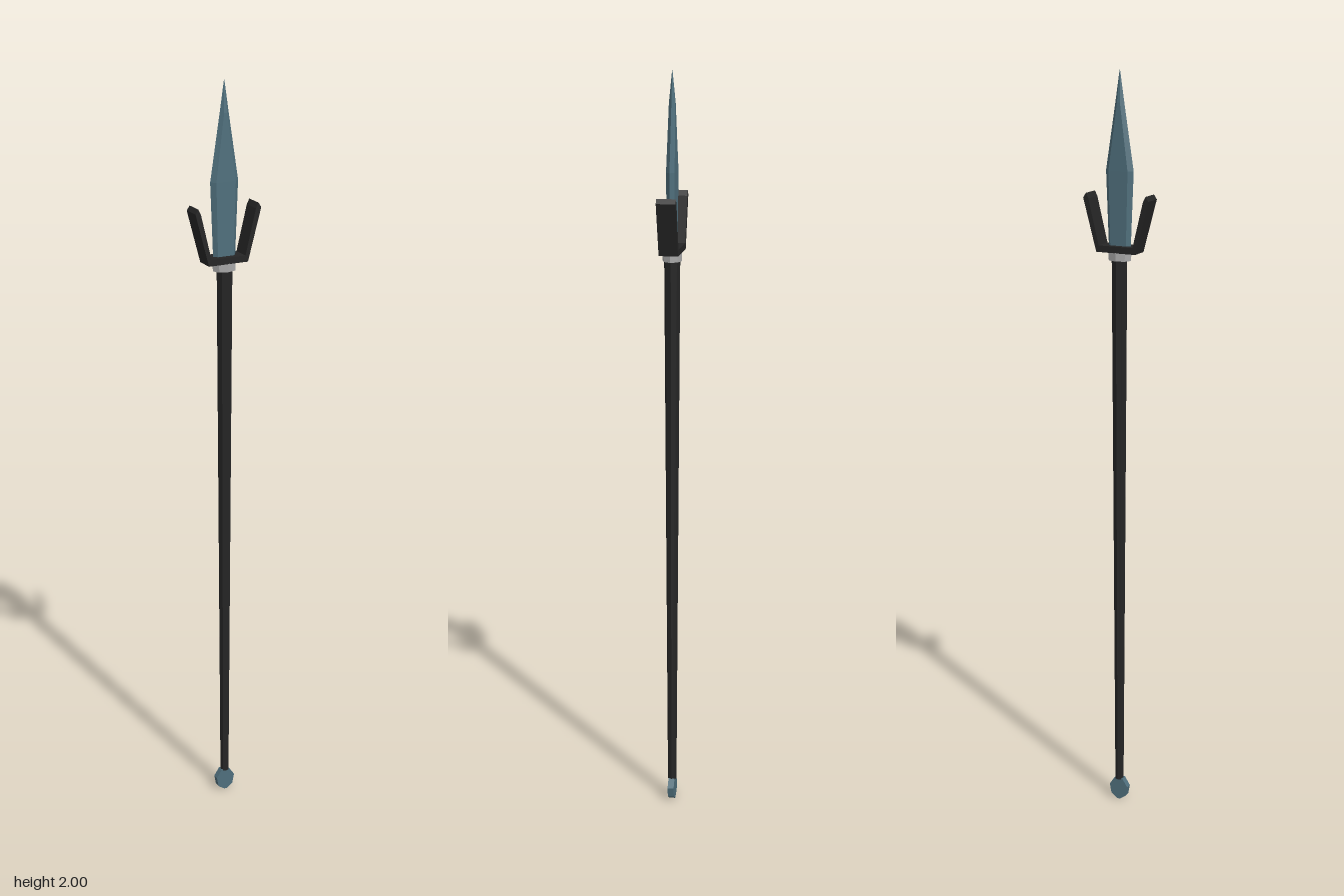
import * as THREE from 'three';

const material = (color) => new THREE.MeshStandardMaterial({ color, flatShading: true });

function addPart(group, name, geometry, mat) {
  const mesh = new THREE.Mesh(geometry, mat);
  mesh.name = name;
  group.add(mesh);
  return mesh;
}

// Joins equal-sized rings of [x, y, z], listed from bottom to top, and caps both ends.
function loft(rings) {
  const n = rings[0].length;
  const index = [];
  for (let r = 0; r < rings.length - 1; r++) {
    for (let i = 0; i < n; i++) {
      const a = r * n + i, b = r * n + (i + 1) % n;
      index.push(a, b, a + n, b, b + n, a + n);
    }
  }
  const top = (rings.length - 1) * n;
  for (let i = 1; i < n - 1; i++) {
    index.push(0, i + 1, i, top, top + i, top + i + 1);
  }
  const geometry = new THREE.BufferGeometry();
  geometry.setAttribute('position', new THREE.Float32BufferAttribute(rings.flat(2), 3));
  geometry.setIndex(index);
  geometry.computeVertexNormals();
  return geometry;
}

// Flat hexagonal section with bevelled cutting edges at +x and -x.
function bladeRing(y, halfWidth, flat, thick) {
  return [
    [halfWidth, y, 0], [flat, y, -thick], [-flat, y, -thick],
    [-halfWidth, y, 0], [-flat, y, thick], [flat, y, thick],
  ];
}

// Mirrors a half outline in x and extrudes it to a plate centred on z = 0.
function mirroredPlate(half, depth) {
  const outline = [...half, ...half.map(([x, y]) => [-x, y]).reverse()];
  const shape = new THREE.Shape(outline.map(([x, y]) => new THREE.Vector2(x, y)));
  const geometry = new THREE.ExtrudeGeometry(shape, { depth, bevelEnabled: false });
  return geometry.translate(0, 0, -depth / 2);
}

export function createModel() {
  const group = new THREE.Group();
  group.name = 'spear';
  const steel = material(0x4f6f7c);
  const dark = material(0x252525);
  const silver = material(0xaaaaaa);

  // Tapered shaft
  const shaft = addPart(group, 'shaft', new THREE.CylinderGeometry(0.021, 0.012, 1.47, 8), dark);
  shaft.position.set(0.001, 0.795, 0);

  // Oval collar under the guard
  const collar = addPart(group, 'collar', new THREE.CylinderGeometry(0.033, 0.032, 0.022, 8), silver);
  collar.position.y = 1.533;
  collar.scale.z = 0.78;

  // U-shaped guard with two raised prongs
  addPart(group, 'guard', mirroredPlate(
    [[0.055, 1.543], [0.092, 1.68], [0.084, 1.692], [0.077, 1.678], [0.048, 1.56]], 0.05), dark);

  // Leaf-shaped blade, its flat narrowing to a ridge towards the tip
  addPart(group, 'blade', loft([
    bladeRing(1.55, 0.031, 0.022, 0.01),
    bladeRing(1.75, 0.039, 0.027, 0.011),
    bladeRing(1.92, 0.0125, 0.004, 0.008),
    bladeRing(2.0, 0.0006, 0.0003, 0.0005),
  ]), steel);

  // Flat pointed butt cap
  addPart(group, 'buttCap', mirroredPlate(
    [[0.004, 0], [0.022, 0.013], [0.027, 0.04], [0.012, 0.063]], 0.017), steel);

  return group;
}
